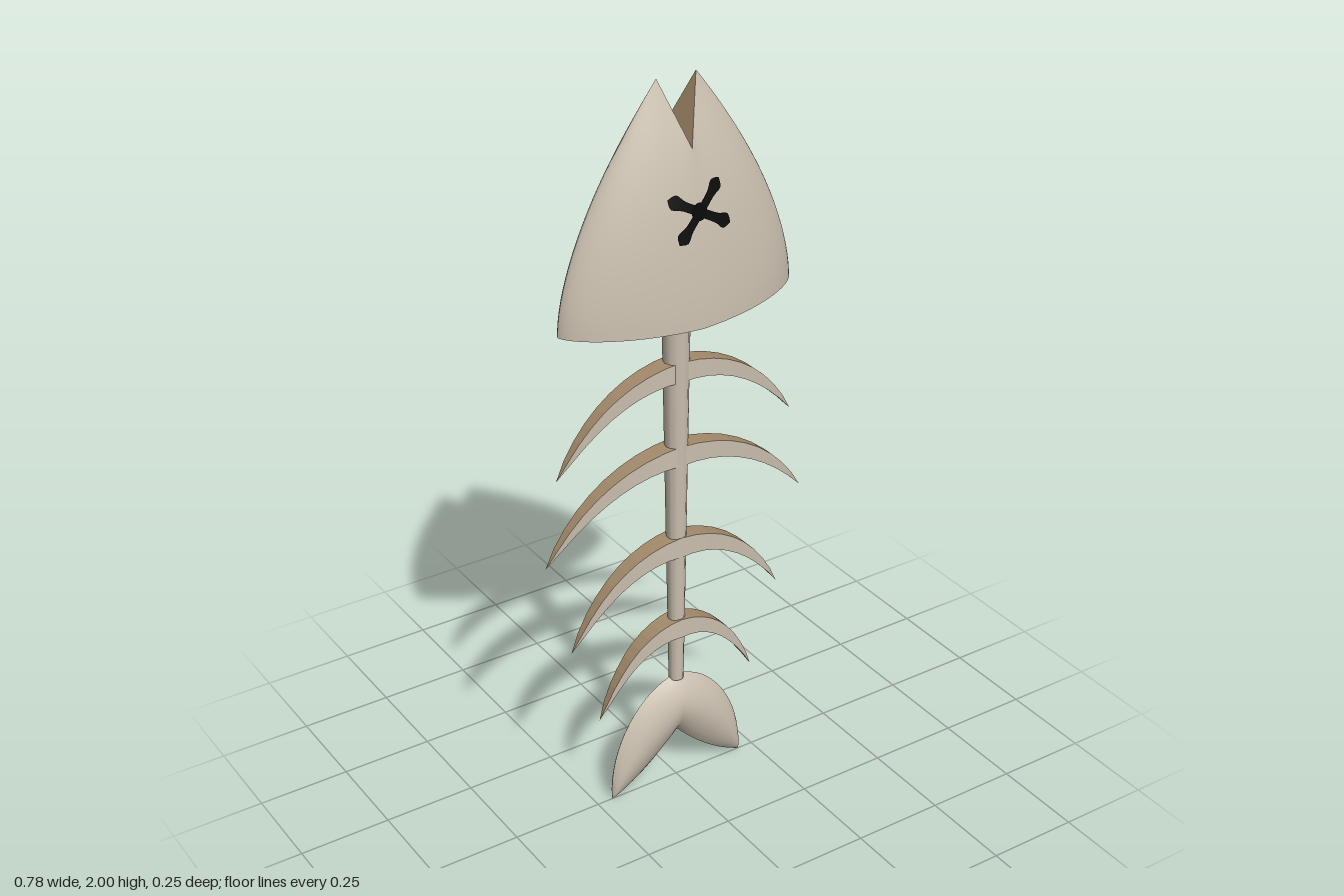
import * as THREE from 'three';

const bone = new THREE.MeshStandardMaterial({ color: 0xcbc0b0 });
bone.name = 'bone';
const marrow = new THREE.MeshStandardMaterial({ color: 0xa58c6c });
marrow.name = 'brown bone';
const ink = new THREE.MeshStandardMaterial({ color: 0x0b0b0a });
ink.name = 'black';

const mix = THREE.MathUtils.lerp;

// Surface patch: fn(u, v) returns [x, y, z], u and v run 0..1
function patch(fn, nu, nv, flat = false) {
  const pos = [], idx = [];
  for (let j = 0; j <= nv; j++) {
    for (let i = 0; i <= nu; i++) {
      pos.push(...fn(i / nu, j / nv));
      if (i < nu && j < nv) {
        const a = j * (nu + 1) + i, b = a + nu + 1;
        idx.push(a, a + 1, b, a + 1, b + 1, b);
      }
    }
  }
  let geo = new THREE.BufferGeometry();
  geo.setAttribute('position', new THREE.Float32BufferAttribute(pos, 3));
  geo.setIndex(idx);
  if (flat) geo = geo.toNonIndexed();
  geo.computeVertexNormals();
  return geo;
}

function add(parent, name, geo, mat) {
  const mesh = new THREE.Mesh(geo, mat);
  mesh.name = name;
  parent.add(mesh);
  return mesh;
}

// Adds a part and its copy turned half round the vertical axis
function addPair(parent, name, geo, mat) {
  add(parent, name + 'Front', geo, mat);
  add(parent, name + 'Back', geo, mat).rotation.y = Math.PI;
}

// Skull: s runs across (-1..1), t runs from neck to mouth
const skullWidth = t => 0.333 - 0.278 * Math.pow(t, 1.65);
const skullDepth = (s, t) => {
  const a = Math.min(1, Math.abs(s));
  return (0.123 - 0.055 * Math.pow(t, 1.6)) *
    mix(Math.pow(1 - a * a, 0.65), 1 - a, Math.pow(t, 5));
};
const skullPoint = (s, t) => [
  skullWidth(t) * s,
  mix(1.4 + 0.44 * t, 1.415 + 0.585 * t, Math.abs(s)),
  skullDepth(s, t),
];
// Evenly rounded spacing across the lens section
const across = u => Math.sin((u - 0.5) * Math.PI);

// Depth of the skull at a given x, y
function skullZ(x, y) {
  let s = 0, t = 0;
  for (let i = 0; i < 14; i++) {
    t = THREE.MathUtils.clamp((y - 1.4 - 0.015 * s) / (0.44 + 0.145 * s), 0, 1);
    s = Math.min(1, Math.abs(x) / skullWidth(t));
  }
  return skullDepth(s, t);
}

function makeSkull() {
  const skull = new THREE.Group();
  skull.name = 'skull';
  addPair(skull, 'skullSide', patch((u, v) => skullPoint(across(u), v), 32, 20), bone);
  add(skull, 'skullUnderside', patch((u, v) => {
    const [x, y, z] = skullPoint(across(u), 0);
    return [x, y, mix(-z, z, v)];
  }, 32, 1), marrow);

  // Open mouth: two sloping triangles
  const jaw = new THREE.BufferGeometry();
  jaw.setAttribute('position', new THREE.Float32BufferAttribute(
    [0.055, 2, 0, 0, 1.84, -0.068, 0, 1.84, 0.068], 3));
  jaw.computeVertexNormals();
  addPair(skull, 'mouth', jaw, marrow);

  // Crossed eye strokes with knobbed ends, laid on the skull
  const stroke = (x0, y0, x1, y1) => patch((u, v) => {
    const dx = x1 - x0, dy = y1 - y0, len = Math.hypot(dx, dy);
    const end = Math.min(u, 1 - u);
    const cap = Math.sqrt(Math.min(1, end / 0.08));
    const w = cap * (0.011 + 0.007 * Math.exp(-Math.pow((end - 0.1) / 0.09, 2)));
    const k = (v - 0.5) * 2 * w / len;
    const x = x0 + dx * u - dy * k, y = y0 + dy * u + dx * k;
    return [x, y, skullZ(x, y) + 0.004];
  }, 24, 2);
  addPair(skull, 'eyeStrokeA', stroke(-0.08, 1.735, 0.087, 1.647), ink);
  addPair(skull, 'eyeStrokeB', stroke(-0.06, 1.624, 0.065, 1.76), ink);
  const hub = new THREE.CircleGeometry(0.022, 16).translate(0, 1.693, 0);
  const p = hub.attributes.position;
  for (let i = 0; i < p.count; i++) p.setZ(i, skullZ(p.getX(i), p.getY(i)) + 0.005);
  addPair(skull, 'eyeCentre', hub, ink);
  return skull;
}

// Right-hand rib; the other is the same turned half round
function makeRib(top, reach, drop) {
  const rib = new THREE.Group();
  const curve = (...pts) => new THREE.QuadraticBezierCurve(
    ...pts.map(([x, y]) => new THREE.Vector2(x * reach, top - y * drop)));
  const outer = curve([0, 0], [0.65, 0.05], [1, 1]);
  const inner = curve([0, 0.23], [0.52, 0.18], [1, 1]);
  const half = u => 0.027 * Math.sqrt(1 - u);
  const at = (u, v, z) => {
    const a = inner.getPoint(u), b = outer.getPoint(u);
    return [mix(a.x, b.x, v), mix(a.y, b.y, v), z * half(u)];
  };
  const n = 9;
  add(rib, 'ribFront', patch((u, v) => at(u, v, 1), n, 1, true), bone);
  add(rib, 'ribBack', patch((u, v) => at(u, 1 - v, -1), n, 1, true), bone);
  add(rib, 'ribTop', patch((u, v) => at(u, 1, 1 - 2 * v), n, 1, true), marrow);
  add(rib, 'ribUnderside', patch((u, v) => at(u, 0, 2 * v - 1), n, 1, true), marrow);
  return rib;
}

// Forked tail, one smooth surface per side
function makeTail() {
  const tail = new THREE.Group();
  tail.name = 'tail';
  const V = (x, y) => new THREE.Vector2(x, y);
  const outer = new THREE.CubicBezierCurve(V(0, 0.33), V(0.11, 0.32), V(0.215, 0.17), V(0.205, 0));
  const inner = new THREE.QuadraticBezierCurve(V(0, 0.152), V(0.1, 0.04), V(0.205, 0));
  addPair(tail, 'tailFin', patch((u, v) => {
    const s = 2 * u - 1, t = Math.abs(s);
    const a = inner.getPoint(t), b = outer.getPoint(t);
    const z = 0.04 * Math.pow(Math.max(0, Math.cos(t * Math.PI / 2)), 0.6) *
      Math.pow(Math.max(0, Math.sin(v * Math.PI)), 0.8);
    return [Math.sign(s) * mix(a.x, b.x, v), mix(a.y, b.y, v), z];
  }, 32, 12), bone);
  return tail;
}

export function createModel() {
  const model = new THREE.Group();
  model.name = 'fishSkeleton';
  model.add(makeSkull());

  // Tapered backbone
  add(model, 'spine', new THREE.CylinderGeometry(0.036, 0.02, 1.1, 12).translate(0, 0.87, 0), bone);

  // Four pairs of ribs: top, reach, drop
  const ribs = [[1.268, 0.35, 0.24], [1.032, 0.388, 0.243], [0.765, 0.32, 0.253], [0.515, 0.24, 0.243]];
  ribs.forEach((r, i) => {
    for (const side of ['left', 'right']) {
      const rib = makeRib(...r);
      rib.name = `${side}Rib${i + 1}`;
      if (side === 'right') rib.rotation.y = Math.PI;
      model.add(rib);
    }
  });

  model.add(makeTail());
  return model;
}
